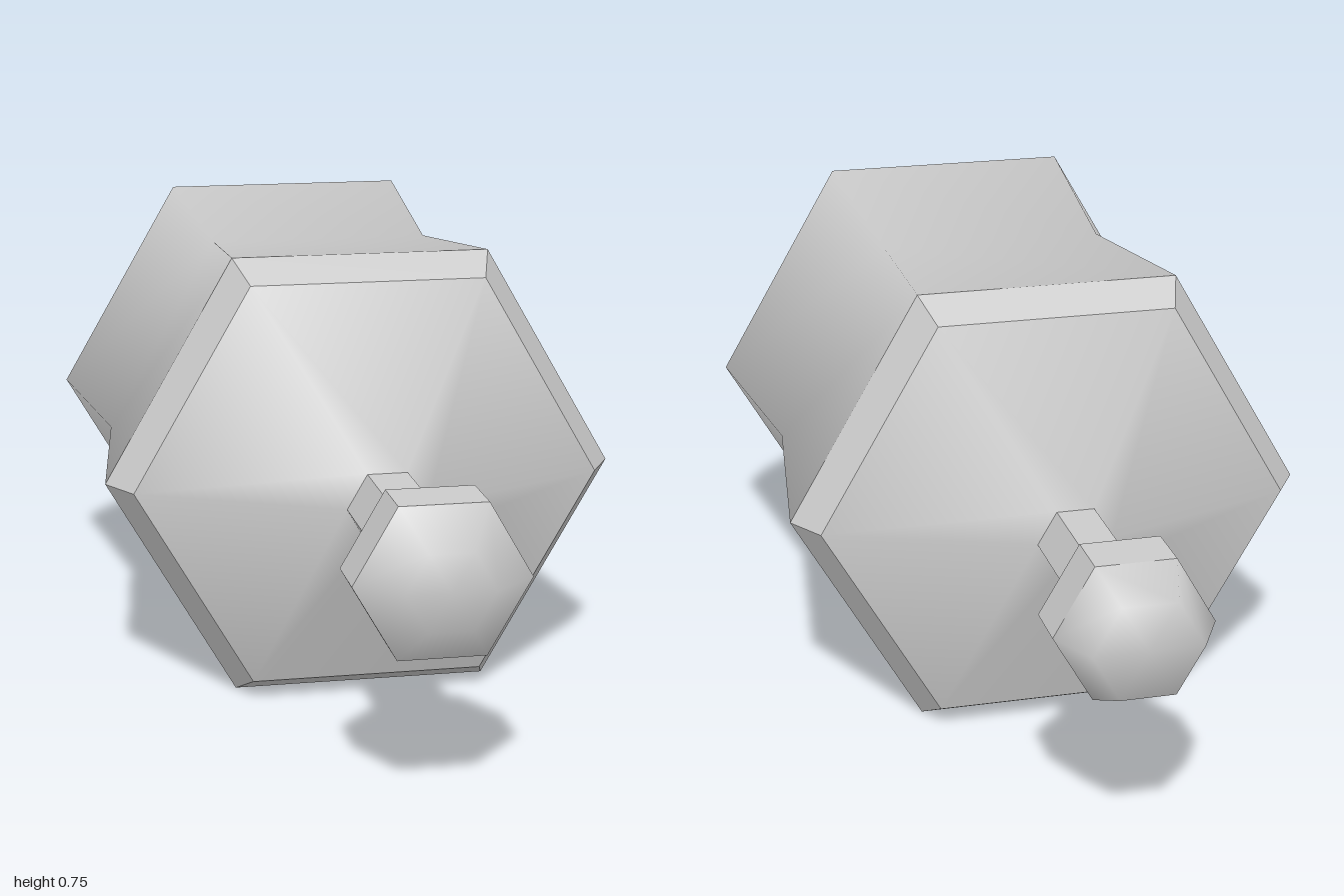
import * as THREE from 'three';

const AXIS_HEIGHT = 0.374;

// Six-sided ring around the z axis; profile is [radius, z] from back to front
function hexBand(name, profile, smooth) {
  const points = profile.map(([r, z]) => new THREE.Vector2(r, z));
  const geometry = new THREE.LatheGeometry(points, 6, Math.PI / 2);
  geometry.rotateX(Math.PI / 2);
  const material = new THREE.MeshStandardMaterial({ color: 0xcccccc, flatShading: !smooth });
  const mesh = new THREE.Mesh(geometry, material);
  mesh.name = name;
  return mesh;
}

export function createModel() {
  const group = new THREE.Group();
  group.name = 'hexagonalRoller';

  const axle = new THREE.Group();
  axle.name = 'rollerAssembly';
  axle.position.y = AXIS_HEIGHT;
  group.add(axle);

  axle.add(
    // Back handle
    hexBand('backKnobCap', [[0, -1], [0.086, -1], [0.126, -0.925]], true),
    hexBand('backKnobRim', [[0.126, -0.925], [0.126, -0.842]], false),
    hexBand('backKnobNeck', [[0.126, -0.842], [0.062, -0.77]], false),
    hexBand('backShaft', [[0.062, -0.77], [0.062, -0.598]], false),
    // Waisted barrel with bevelled rims and shallow cone ends
    hexBand('backCone', [[0.062, -0.598], [0.392, -0.48]], true),
    hexBand('backBevel', [[0.392, -0.48], [0.432, -0.418]], false),
    hexBand('barrel', [[0.432, -0.418], [0.384, -0.035], [0.432, 0.34]], true),
    hexBand('frontBevel', [[0.432, 0.34], [0.392, 0.408]], false),
    hexBand('frontCone', [[0.392, 0.408], [0.066, 0.56]], true),
    // Front handle
    hexBand('frontShaft', [[0.066, 0.56], [0.066, 0.78]], false),
    hexBand('frontKnobNeck', [[0.066, 0.78], [0.136, 0.855]], false),
    hexBand('frontKnobRim', [[0.136, 0.855], [0.136, 0.945]], false),
    hexBand('frontKnobCap', [[0.136, 0.945], [0.068, 1], [0, 1]], true),
  );
  return group;
}
